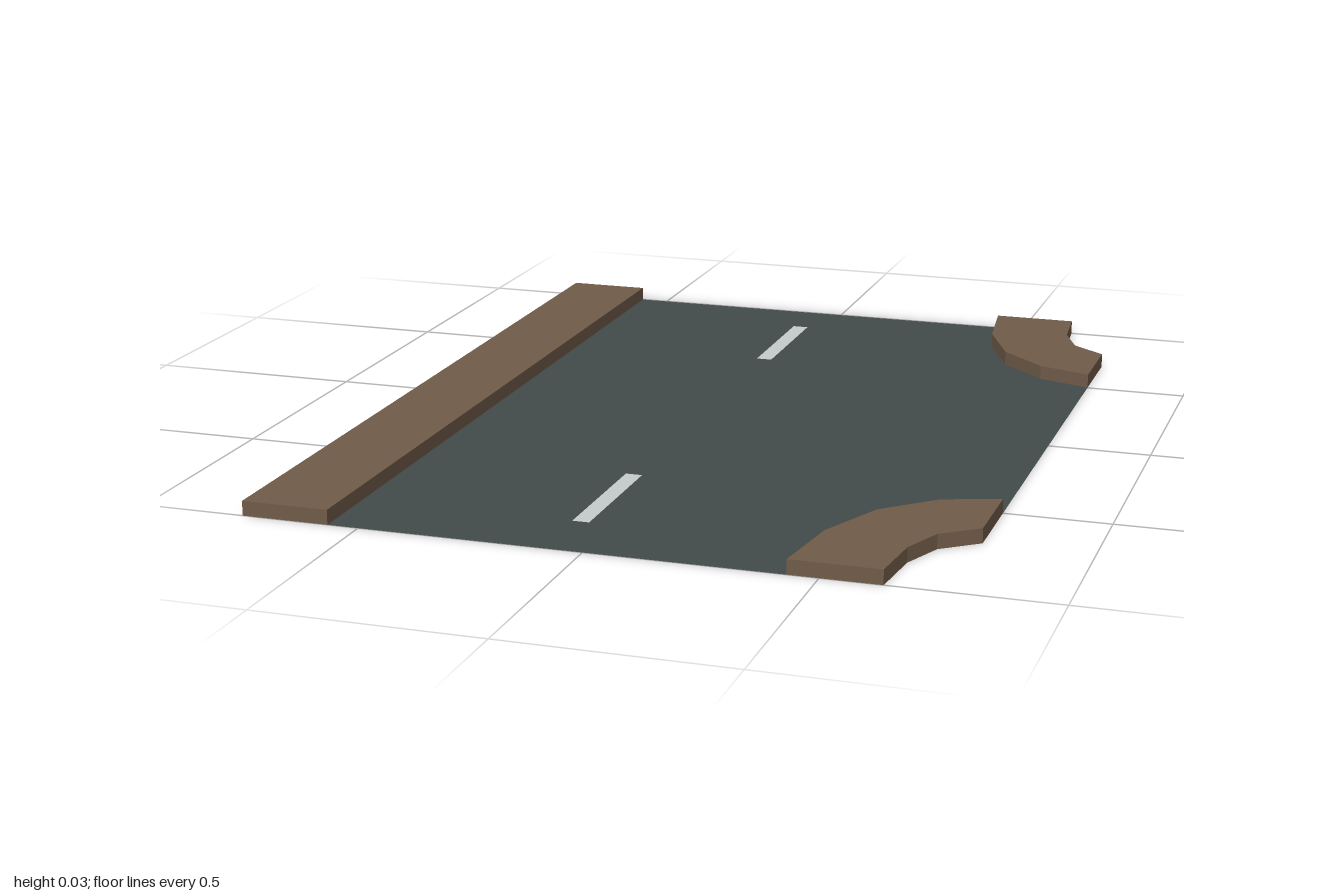
import * as THREE from 'three';

const H = 0.033; // kerb height

// Flat sheet facing up from a list of [x, z] points
function sheet(points, y) {
  const shape = new THREE.Shape(points.map(([x, z]) => new THREE.Vector2(x, -z)));
  return new THREE.ShapeGeometry(shape).rotateX(-Math.PI / 2).translate(0, y, 0);
}

// Vertical wall around an outline, open above and below
function wall(points, height) {
  const outline = points.map(([x, z]) => new THREE.Vector2(x, -z));
  if (THREE.ShapeUtils.area(outline) < 0) outline.reverse();
  const pos = [];
  outline.forEach((a, i) => {
    const b = outline[(i + 1) % outline.length];
    pos.push(a.x, 0, -a.y, b.x, 0, -b.y, b.x, height, -b.y);
    pos.push(a.x, 0, -a.y, b.x, height, -b.y, a.x, height, -a.y);
  });
  const geo = new THREE.BufferGeometry();
  geo.setAttribute('position', new THREE.Float32BufferAttribute(pos, 3));
  geo.computeVertexNormals();
  return geo;
}

export function createModel() {
  const model = new THREE.Group();
  model.name = 'roadJunction';

  const material = (name, color) => {
    const m = new THREE.MeshStandardMaterial({ color, side: THREE.DoubleSide });
    m.name = name;
    return m;
  };
  const asphalt = material('asphalt', 0x434a4a);
  const paving = material('paving', 0x705b49);
  const paint = material('paint', 0xc6cccb);

  const add = (parent, name, geo, mat) => {
    const mesh = new THREE.Mesh(geo, mat);
    mesh.name = name;
    parent.add(mesh);
  };

  // Hollow pavement: top sheet and side walls, open underneath
  const addPavement = (name, points) => {
    const group = new THREE.Group();
    group.name = name;
    add(group, name + 'Top', sheet(points, H), paving);
    add(group, name + 'Sides', wall(points, H), paving);
    model.add(group);
  };

  // Corner curves, from the road end to the side street
  const roadEdge = [[0.433, 1], [0.458, 0.81], [0.527, 0.65], [0.638, 0.546], [0.765, 0.502]];
  const outerEdge = [[0.765, 0.70], [0.684, 0.763], [0.645, 0.86], [0.632, 1]];
  const mirror = (points) => points.map(([x, z]) => [x, -z]);

  // Road surface, cut to follow both corners
  const road = [[-0.57, -1], [-0.57, 1], ...roadEdge, ...mirror(roadEdge).reverse()];
  add(model, 'roadSurface', sheet(road, 0), asphalt);

  // Straight pavement and the two corner pavements
  addPavement('straightPavement', [[-0.767, -1], [-0.767, 1], [-0.57, 1], [-0.57, -1]]);
  const corner = [...roadEdge, ...outerEdge];
  addPavement('frontCornerPavement', corner);
  addPavement('backCornerPavement', mirror(corner));

  // Painted lane dashes
  for (const [name, z0, z1] of [['backLaneDash', -0.843, -0.506], ['frontLaneDash', 0.49, 0.826]]) {
    add(model, name, sheet([[-0.088, z0], [-0.088, z1], [-0.05, z1], [-0.05, z0]], 0.002), paint);
  }

  return model;
}
